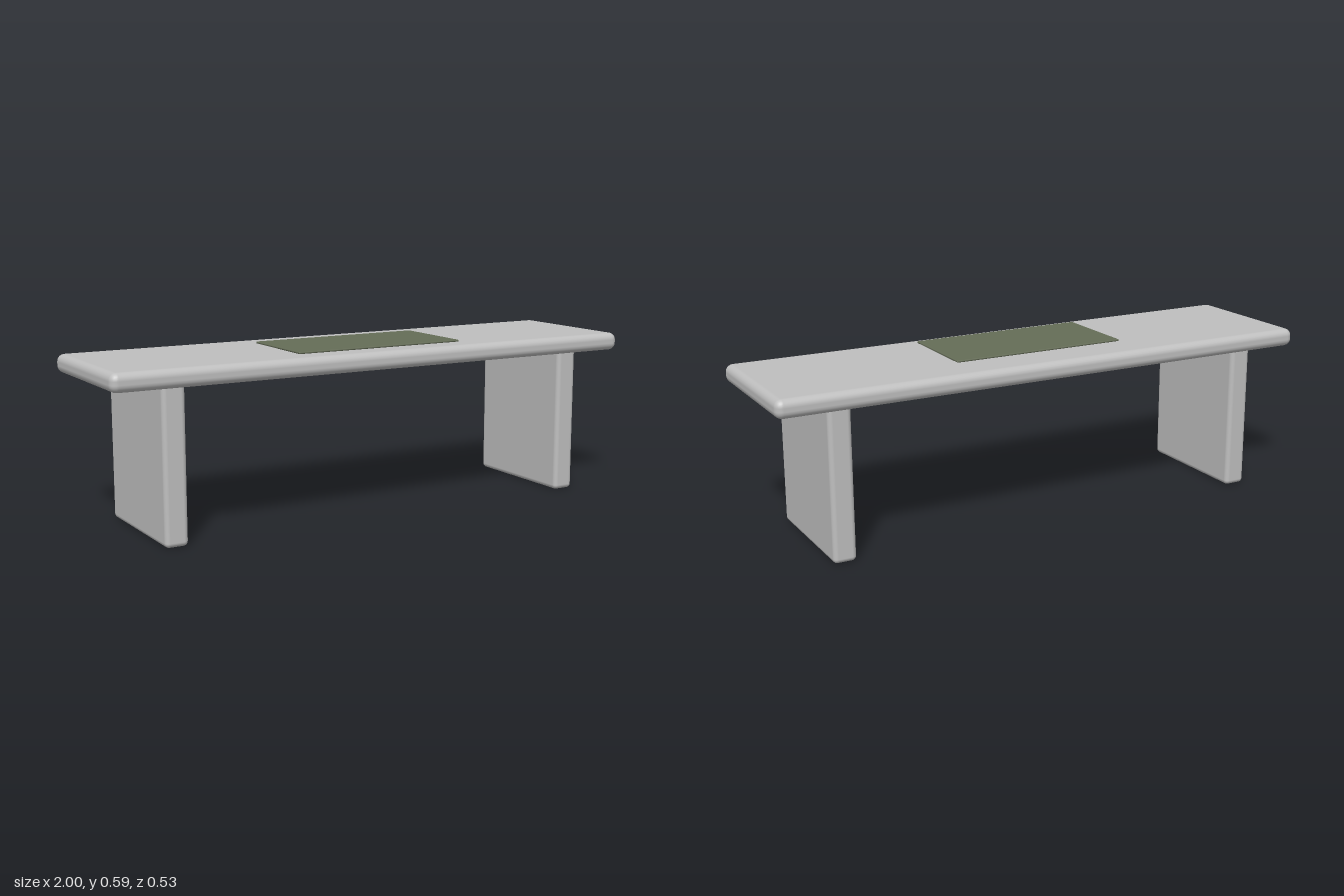
import * as THREE from 'three';
import { RoundedBoxGeometry } from 'three/addons/geometries/RoundedBoxGeometry.js';

export function createModel() {
  const group = new THREE.Group();
  group.name = 'bench';

  const stone = new THREE.MeshStandardMaterial({ color: 0xbfbfbf });
  stone.name = 'pale grey stone';
  const cloth = new THREE.MeshStandardMaterial({ color: 0x656d57 });
  cloth.name = 'olive green cloth';

  // Rounded block given by its size, edge radius and centre
  function block(name, [w, h, d], radius, [x, y, z], material) {
    const mesh = new THREE.Mesh(new RoundedBoxGeometry(w, h, d, 3, radius), material);
    mesh.name = name;
    mesh.position.set(x, y, z);
    group.add(mesh);
  }

  // Seat slab
  block('seat', [2, 0.064, 0.528], 0.026, [0, 0.549, 0], stone);

  // Slab legs, their tops tucked into the seat
  for (const side of [-1, 1]) {
    const name = side > 0 ? 'leftLeg' : 'rightLeg';
    block(name, [0.08, 0.535, 0.466], 0.016, [side * 0.784, 0.2675, 0], stone);
  }

  // Thin mat resting just above the seat, set towards the front
  block('mat', [0.64, 0.007, 0.322], 0.003, [0, 0.5885, 0.036], cloth);

  return group;
}
